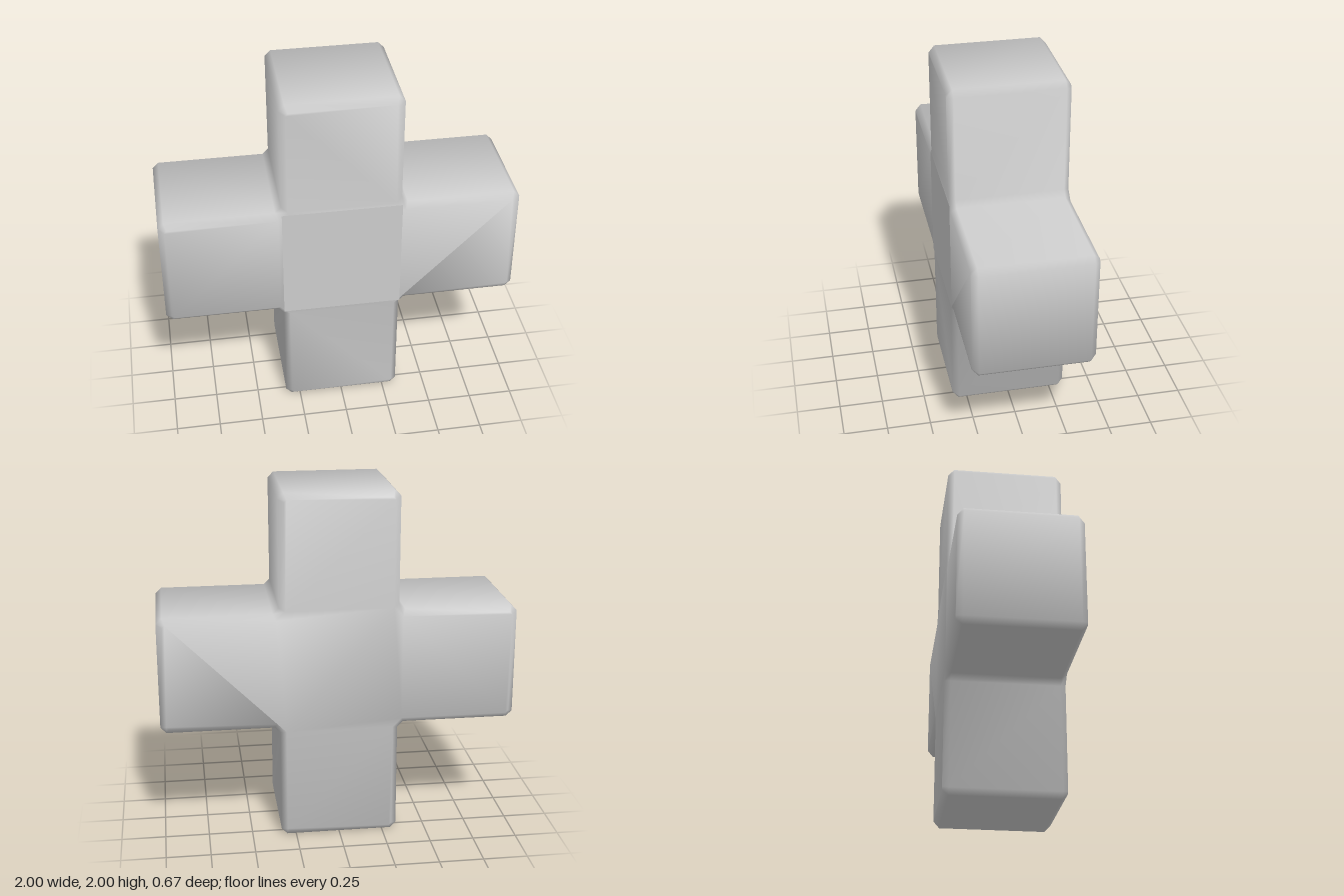
import * as THREE from 'three';
import { mergeVertices } from 'three/addons/utils/BufferGeometryUtils.js';

const H = 1 / 3;    // half thickness of an arm
const C = 0.033;    // chamfer

// Vertex normals averaged equally over the touching faces, for soft shading
function softNormals(source) {
  source.deleteAttribute('uv');
  source.deleteAttribute('normal');
  const geometry = mergeVertices(source, 1e-4);
  const { position } = geometry.attributes;
  const index = geometry.index;
  const sums = Array.from({ length: position.count }, () => new THREE.Vector3());
  const tri = new THREE.Triangle();
  const n = new THREE.Vector3();
  for (let i = 0; i < index.count; i += 3) {
    const ids = [0, 1, 2].map((k) => index.getX(i + k));
    tri.setFromAttributeAndIndices(position, ...ids);
    tri.getNormal(n);
    ids.forEach((id) => sums[id].add(n));
  }
  const normals = sums.flatMap((v) => v.normalize().toArray());
  geometry.setAttribute('normal', new THREE.Float32BufferAttribute(normals, 3));
  return geometry;
}

// Cross outline: one chamfered arm turned four times
function crossShape() {
  const arm = [[H + C, -H], [1 - C, -H], [1, -H + C], [1, H - C], [1 - C, H], [H + C, H]];
  const points = [];
  for (let i = 0; i < 4; i++) {
    for (const [x, y] of arm) {
      points.push(new THREE.Vector2(x, y).rotateAround(new THREE.Vector2(), i * Math.PI / 2));
    }
  }
  return new THREE.Shape(points);
}

export function createModel() {
  const group = new THREE.Group();
  group.name = 'cross';
  const material = new THREE.MeshStandardMaterial({ color: 0xcccccc });

  // Four equal arms with chamfered edges and filled inner corners
  const depth = 2 * (H - C);
  const solid = new THREE.ExtrudeGeometry(crossShape(), {
    depth, bevelEnabled: true, bevelSegments: 1,
    bevelSize: C, bevelThickness: C, bevelOffset: -C,
  });
  solid.translate(0, 1, -depth / 2);
  const body = new THREE.Mesh(softNormals(solid), material);
  body.name = 'crossBody';
  group.add(body);

  // Flat square in the middle of the front
  const panel = new THREE.Mesh(new THREE.PlaneGeometry(2 * H, 2 * H), material);
  panel.name = 'frontPanel';
  panel.position.set(0, 1, H + 0.001);
  group.add(panel);

  return group;
}
